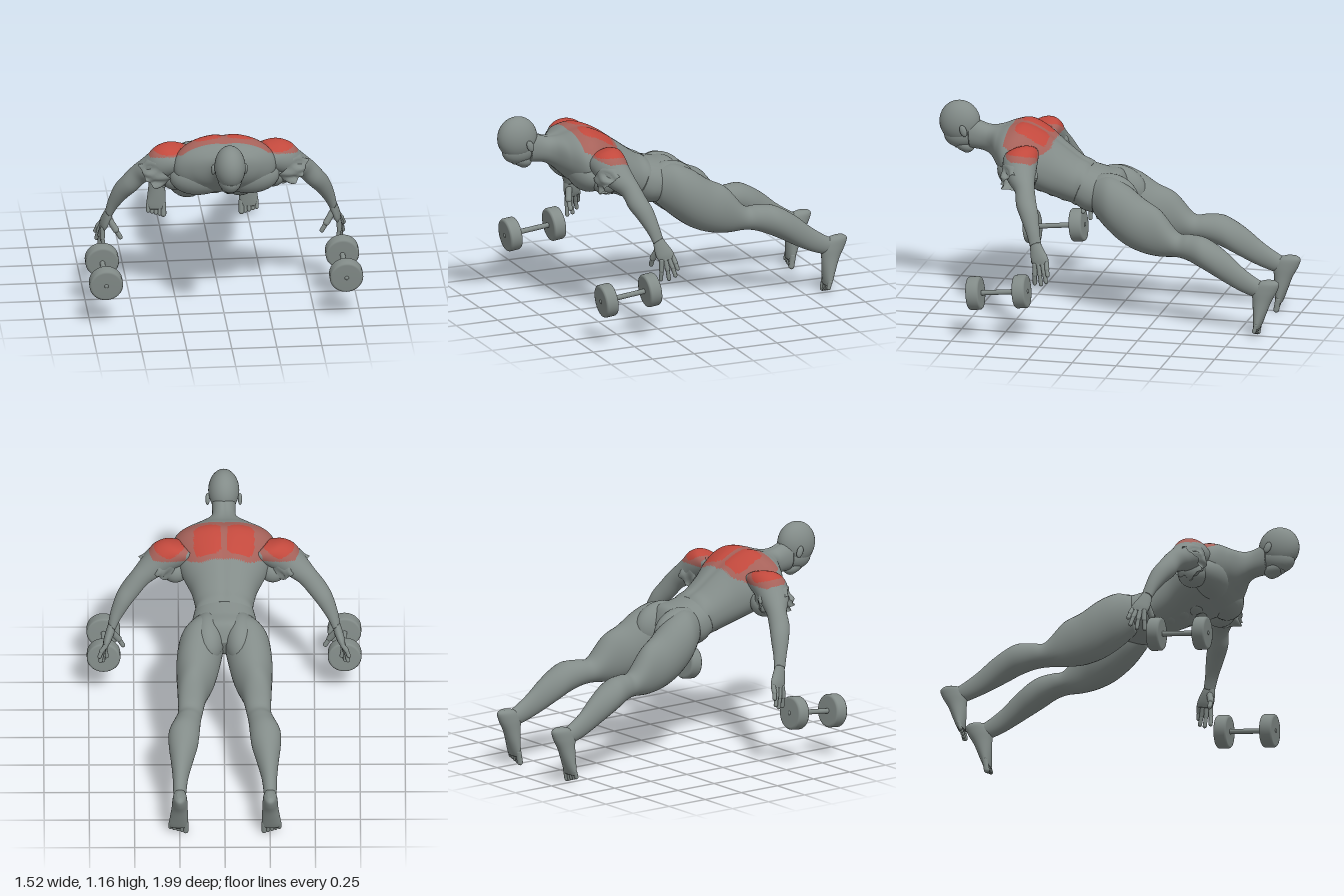
import * as THREE from 'three';

const V = (x, y, z) => new THREE.Vector3(x, y, z);
const X = V(1, 0, 0), Y = V(0, 1, 0), Z = V(0, 0, 1);

// smooth scalar interpolation through the rows of a section list
function sample(rows, t) {
  const f = t * (rows.length - 1), i = Math.min(Math.floor(f), rows.length - 2), s = f - i;
  const r = k => rows[Math.max(0, Math.min(rows.length - 1, k))];
  return rows[i].map((_, c) => {
    const a = r(i - 1)[c], b = r(i)[c], d = r(i + 1)[c], e = r(i + 2)[c];
    return b + 0.5 * s * (d - a + s * (2 * a - 5 * b + 4 * d - e + s * (3 * (b - d) + e - a)));
  });
}

// skin over rows [x, y, z, halfU, halfV]; tone(x, y, z) picks a material index
function loft(rows, u, v, { segs = 40, sides = 32, power = 2, bump = () => 1, tone = () => 0, caps = true } = {}) {
  const pos = [], tris = [[], [], []];
  const first = V(...rows[0]), last = V(...rows[rows.length - 1]);
  const flip = u.clone().cross(v).dot(last.clone().sub(first)) < 0;
  const round = q => Math.sign(q) * Math.abs(q) ** (2 / power);
  for (let i = 0; i <= segs; i++) {
    const [x, y, z, a, b] = sample(rows, i / segs);
    for (let j = 0; j < sides; j++) {
      const w = j / sides * Math.PI * 2, k = bump(w, i / segs);
      const p = V(x, y, z).addScaledVector(u, a * k * round(Math.cos(w))).addScaledVector(v, b * k * round(Math.sin(w)));
      pos.push(p.x, p.y, p.z);
    }
  }
  const tri = (a, b, c) => {
    const m = o => (pos[a * 3 + o] + pos[b * 3 + o] + pos[c * 3 + o]) / 3;
    tris[tone(m(0), m(1), m(2))].push(...(flip ? [a, c, b] : [a, b, c]));
  };
  for (let i = 0; i < segs; i++) for (let j = 0; j < sides; j++) {
    const a = i * sides + j, b = i * sides + (j + 1) % sides;
    tri(a, b, a + sides);
    tri(b, b + sides, a + sides);
  }
  if (caps) {
    const c = pos.length / 3, e = segs * sides;
    pos.push(first.x, first.y, first.z, last.x, last.y, last.z);
    for (let j = 0; j < sides; j++) {
      const n = (j + 1) % sides;
      tri(c, n, j);
      tri(c + 1, e + j, e + n);
    }
  }
  const g = new THREE.BufferGeometry();
  g.setAttribute('position', new THREE.Float32BufferAttribute(pos, 3));
  g.setIndex(tris.flat());
  let start = 0;
  tris.forEach((t, k) => { if (t.length) g.addGroup(start, t.length, k); start += t.length; });
  g.computeVertexNormals();
  return g;
}

const blob = (x, y, z, a, b, c, tilt = 0) =>
  new THREE.SphereGeometry(1, 28, 20).scale(a, b, c).rotateX(tilt).translate(x, y, z);

// rounded rod between two points
function rod(p, q, r) {
  const d = q.clone().sub(p);
  const g = new THREE.CapsuleGeometry(r, d.length(), 5, 12);
  g.applyQuaternion(new THREE.Quaternion().setFromUnitVectors(Y, d.normalize()));
  const m = p.clone().add(q).multiplyScalar(0.5);
  return g.translate(m.x, m.y, m.z);
}

function mirrored(geo) {
  const g = geo.clone().scale(-1, 1, 1), ix = g.index;
  for (let i = 0; i < ix.count; i += 3) {
    const a = ix.getX(i);
    ix.setX(i, ix.getX(i + 1));
    ix.setX(i + 1, a);
  }
  return g;
}

export function createModel() {
  const model = new THREE.Group();
  const mat = (name, color) => Object.assign(new THREE.MeshStandardMaterial({ color }), { name });
  const skin = mat('grey', 0x838c89), rim = mat('softRed', 0xa6625a), red = mat('red', 0xc2493d);
  const cloth = mat('tornCloth', 0x838c89);
  cloth.side = THREE.DoubleSide;
  const tones = [skin, rim, red];
  const add = (name, geo, m = skin) => {
    const mesh = new THREE.Mesh(geo, m);
    mesh.name = name;
    model.add(mesh);
  };
  const pair = (name, geo, m) => {
    add(name + 'Left', geo, m);
    add(name + 'Right', mirrored(geo), m);
  };

  // highlighted muscles: a band over the upper back with rounded cores, and rounded shoulder caps
  const backTone = (x, y, z) => {
    const ax = Math.abs(x);
    if (y < 0.92 + 0.45 * Math.abs(z - 0.42) || z < 0.335 || z > 0.58) return 0;
    return ((ax - 0.09) / 0.078) ** 4 + ((z - 0.45) / 0.09) ** 4 < 1 ? 2 : 1;
  };
  const shoulderTone = (x, y, z) => {
    if (y < 0.92 + 0.38 * Math.abs(z - 0.42)) return 0;
    const d = Math.hypot((x - 0.3) / 0.115, (z - 0.455) / 0.11);
    return d > 1 ? 0 : d > 0.76 ? 1 : 2;
  };
  const groove = w => 1 - 0.045 * Math.exp(-(((w - Math.PI / 2) / 0.13) ** 2))
    - 0.03 * Math.exp(-(((w - Math.PI * 1.5) / 0.12) ** 2));

  // torso and neck: top, bottom and half width along the spine
  const spine = [[0.08, 0.81, 0.64, 0.14], [0.14, 0.862, 0.62, 0.162], [0.2, 0.893, 0.622, 0.16], [0.3, 0.965, 0.652, 0.185],
    [0.4, 1.035, 0.692, 0.24], [0.5, 1.075, 0.73, 0.28], [0.58, 1.06, 0.765, 0.275], [0.64, 1.04, 0.82, 0.19],
    [0.69, 1.035, 0.865, 0.1], [0.74, 1.045, 0.89, 0.067], [0.82, 1.08, 0.9, 0.066]];
  add('torso', loft(spine.map(([z, t, b, w]) => [0, (t + b) / 2, z, w, (t - b) / 2]), X, Y,
    { segs: 100, sides: 112, power: 2.15, bump: groove, tone: backTone }), tones);
  pair('chestMuscle', blob(0.14, 0.842, 0.53, 0.165, 0.106, 0.098, 0.3));
  for (let i = 0; i < 4; i++)
    pair('abdominal' + i, blob(0.044, 0.658 + i * 0.022, 0.2 + i * 0.07, 0.054, 0.035, 0.046, -0.3));

  // hips with a slanted waistline, and buttocks
  add('hips', loft([[0, 0.742, 0.172, 0.164, 0.108], [0, 0.713, 0.1, 0.178, 0.12], [0, 0.702, 0.01, 0.165, 0.114],
    [0, 0.665, -0.06, 0.07, 0.055]], X, V(0, 1, -0.42), { power: 2.2, sides: 48 }));
  pair('buttock', blob(0.09, 0.7, -0.005, 0.09, 0.126, 0.155, -0.3));

  // legs from hip to ankle
  pair('leg', loft([[0.1, 0.7, 0.09, 0.075, 0.1], [0.122, 0.668, 0, 0.12, 0.152], [0.142, 0.614, -0.1, 0.122, 0.168],
    [0.158, 0.562, -0.2, 0.107, 0.152], [0.178, 0.53, -0.3, 0.082, 0.13], [0.19, 0.477, -0.4, 0.068, 0.07],
    [0.205, 0.47, -0.47, 0.073, 0.073], [0.224, 0.453, -0.55, 0.085, 0.087], [0.23, 0.42, -0.62, 0.08, 0.09],
    [0.238, 0.372, -0.7, 0.06, 0.085], [0.246, 0.32, -0.78, 0.043, 0.07], [0.25, 0.28, -0.86, 0.036, 0.055],
    [0.25, 0.27, -0.91, 0.03, 0.04]], X, Y, { segs: 72 }));

  // feet on their toes
  pair('foot', loft([[0.25, 0.325, -0.945, 0.015, 0.03], [0.25, 0.305, -0.93, 0.034, 0.066], [0.25, 0.26, -0.912, 0.041, 0.07],
    [0.251, 0.2, -0.898, 0.044, 0.052], [0.254, 0.13, -0.886, 0.05, 0.037], [0.257, 0.08, -0.878, 0.053, 0.026],
    [0.257, 0.05, -0.873, 0.05, 0.018]], X, Z));
  for (let i = 0; i < 5; i++) {
    const x = 0.217 + i * 0.021, r = i ? 0.0115 : 0.016;
    pair('toe' + i, rod(V(x, 0.075, -0.876), V(x, r + i * 0.007, -0.866), r));
  }

  // arms from shoulder to wrist
  const along = V(0.68, -0.7, -0.3).normalize();
  const across = V(0.7, 0.71, 0).addScaledVector(along, -V(0.7, 0.71, 0).dot(along)).normalize();
  const depth = along.clone().cross(across);
  pair('arm', loft([[0.19, 0.945, 0.48, 0.075, 0.085], [0.255, 0.945, 0.472, 0.092, 0.098], [0.315, 0.92, 0.462, 0.095, 0.098],
    [0.37, 0.88, 0.447, 0.08, 0.086], [0.42, 0.845, 0.425, 0.067, 0.07], [0.465, 0.81, 0.4, 0.057, 0.055],
    [0.515, 0.75, 0.38, 0.055, 0.056], [0.56, 0.69, 0.35, 0.049, 0.05], [0.6, 0.61, 0.32, 0.036, 0.037],
    [0.622, 0.545, 0.3, 0.026, 0.032]], across, depth, { segs: 96, sides: 64, tone: shoulderTone }), tones);

  // torn sleeve edges around the upper arm
  const ragged = (w, t) => 1 + t * (0.11 * Math.sin(w * 7) + 0.08 * Math.sin(w * 11 + t * 6)) - 0.05 * Math.sin(w * 5 + t * 9);
  pair('tornSleeve', loft([[0.32, 0.9, 0.47, 0.09, 0.096], [0.36, 0.86, 0.46, 0.094, 0.098],
    [0.395, 0.832, 0.452, 0.088, 0.095]], across, depth, { segs: 8, sides: 44, bump: ragged, caps: false }), cloth);
  pair('armpitFold', blob(0.27, 0.825, 0.465, 0.08, 0.08, 0.085));

  // open hands
  pair('palm', loft([[0.62, 0.56, 0.303, 0.02, 0.028], [0.63, 0.52, 0.29, 0.024, 0.04], [0.645, 0.475, 0.272, 0.022, 0.05],
    [0.655, 0.445, 0.26, 0.015, 0.045]], V(0.95, 0.25, 0.2), V(-0.1, -0.25, 0.96), { segs: 20 }));
  const tips = [[0.69, 0.4, 0.215], [0.685, 0.36, 0.226], [0.67, 0.34, 0.258], [0.65, 0.337, 0.298]];
  tips.forEach(([x, y, z], i) => {
    const base = V(0.656, 0.462 - i * 0.006, 0.23 + i * 0.022), mid = V(x, y, z).lerp(base, 0.5).add(V(0.005, 0, 0));
    pair('fingerBase' + i, rod(base, mid, 0.0135));
    pair('fingerTip' + i, rod(mid, V(x, y, z), 0.0115));
  });
  pair('thumbBase', rod(V(0.625, 0.51, 0.3), V(0.585, 0.445, 0.318), 0.018));
  pair('thumbTip', rod(V(0.585, 0.445, 0.318), V(0.56, 0.4, 0.318), 0.013));

  // head looking forward and down
  add('skull', blob(0, 1.045, 0.883, 0.086, 0.12, 0.115));
  add('face', blob(0, 0.975, 0.872, 0.068, 0.078, 0.1, 0.15));
  add('jaw', blob(0, 0.918, 0.858, 0.05, 0.042, 0.062, -0.45));
  add('chin', blob(0, 0.889, 0.842, 0.03, 0.022, 0.03));
  add('brow', blob(0, 0.99, 0.957, 0.048, 0.014, 0.022));
  add('nose', rod(V(0, 0.97, 0.956), V(0, 0.928, 0.933), 0.012));
  add('lips', blob(0, 0.905, 0.9, 0.024, 0.013, 0.016, -0.4));
  pair('ear', blob(0.09, 1.015, 0.842, 0.012, 0.034, 0.02, 0.35));

  // dumbbells, tilted slightly down to the front
  const back = V(0.667, 0.29, 0.37), front = V(0.667, 0.262, 0.633);
  const axis = front.clone().sub(back).normalize(), turn = new THREE.Quaternion().setFromUnitVectors(Y, axis);
  const plate = [[0, -0.036], [0.078, -0.036], [0.088, -0.034], [0.093, -0.026], [0.093, 0.026], [0.088, 0.034], [0.078, 0.036],
    [0, 0.036]].map(p => new THREE.Vector2(...p));
  [back, front].forEach((c, i) => pair(i ? 'frontWeight' : 'backWeight',
    new THREE.LatheGeometry(plate, 40).applyQuaternion(turn).translate(c.x, c.y, c.z)));
  pair('dumbbellBar', rod(back.clone().addScaledVector(axis, -0.028), front.clone().addScaledVector(axis, 0.028), 0.0145));
  return model;
}
